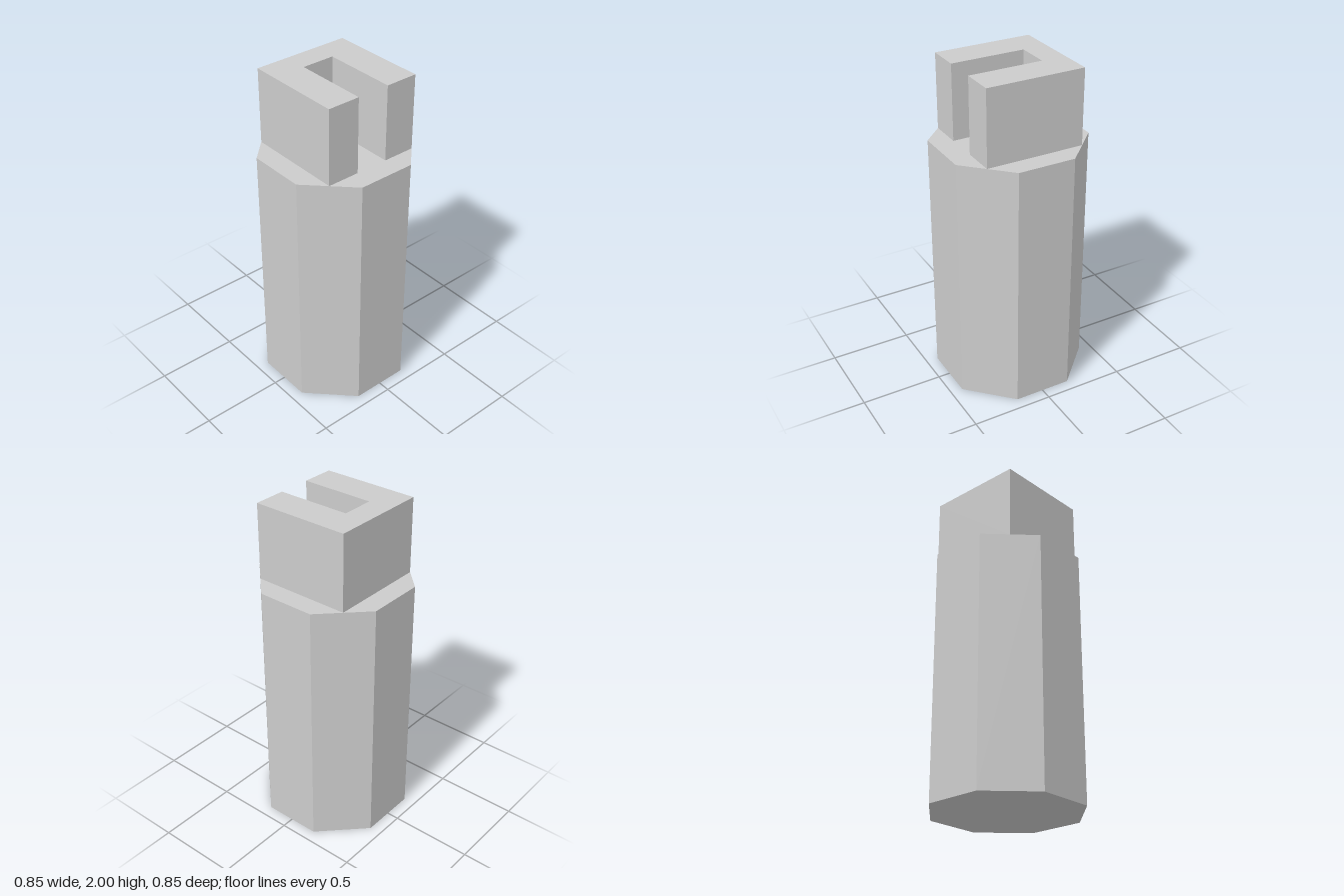
import * as THREE from 'three';

const BODY_H = 1.54, TOTAL_H = 2;
const APOTHEM = 0.426;   // half the width across the octagon's flats
const HALF = 0.301;      // half the width of the slotted head
const SLOT_HALF = 0.101, SLOT_END = -0.152;

export function createModel() {
  const group = new THREE.Group();
  const material = new THREE.MeshStandardMaterial({ color: 0xcccccc, flatShading: true });
  const add = (name, geometry, y) => {
    const mesh = new THREE.Mesh(geometry, material);
    mesh.name = name;
    mesh.position.y = y;
    group.add(mesh);
  };

  // Octagonal shaft with flats facing the axes
  const radius = APOTHEM / Math.cos(Math.PI / 8);
  add('octagonalShaft',
    new THREE.CylinderGeometry(radius, radius, BODY_H, 8, 1, false, Math.PI / 8), BODY_H / 2);

  // Square head with a slot open toward +x
  const outline = new THREE.Shape([
    [-HALF, -HALF], [HALF, -HALF], [HALF, -SLOT_HALF], [SLOT_END, -SLOT_HALF],
    [SLOT_END, SLOT_HALF], [HALF, SLOT_HALF], [HALF, HALF], [-HALF, HALF],
  ].map(([x, y]) => new THREE.Vector2(x, y)));
  const head = new THREE.ExtrudeGeometry(outline, { depth: TOTAL_H - BODY_H, bevelEnabled: false });
  head.rotateX(-Math.PI / 2);
  add('slottedHead', head, BODY_H);

  return group;
}
